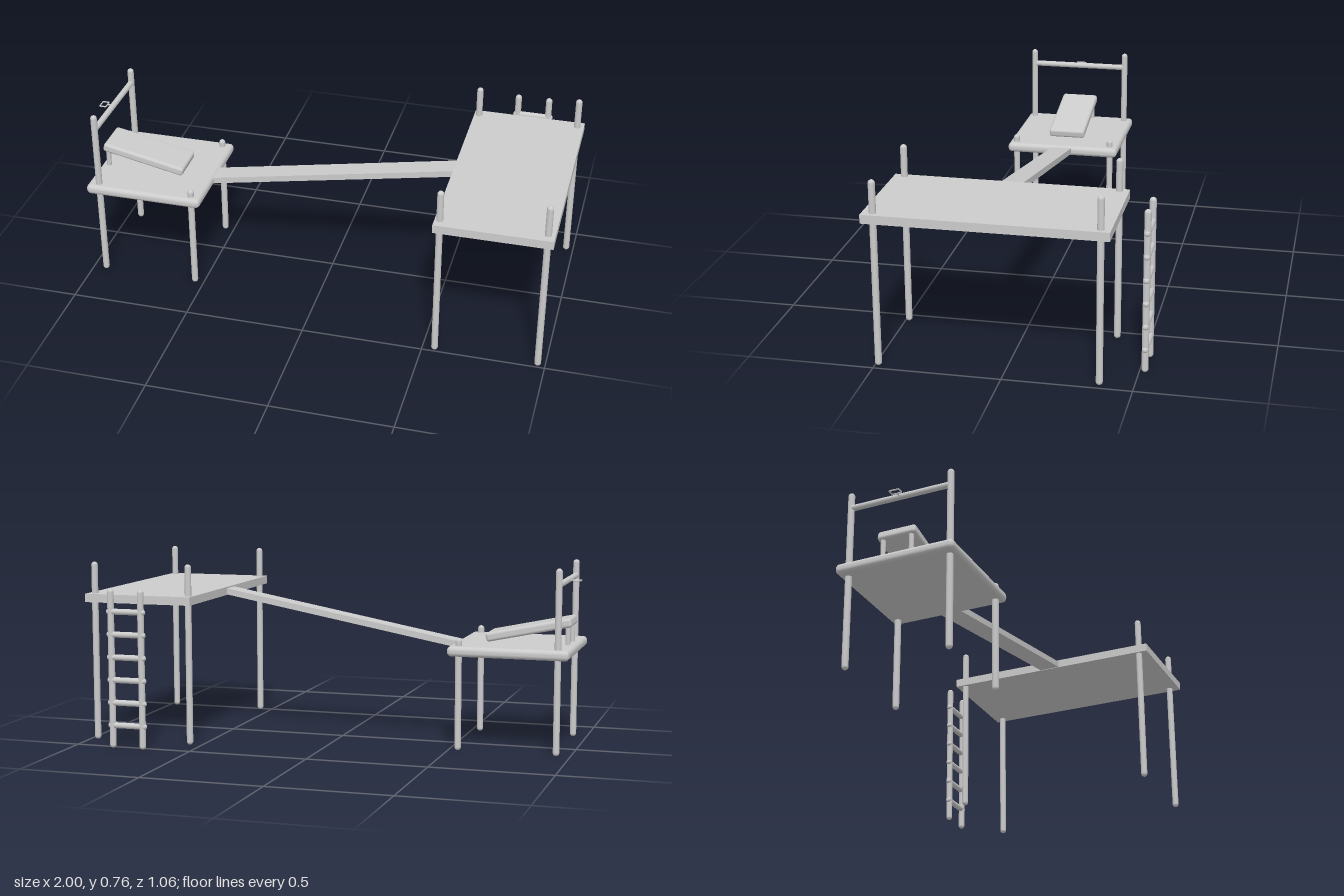
import * as THREE from 'three';
import { RoundedBoxGeometry } from 'three/addons/geometries/RoundedBoxGeometry.js';

const material = new THREE.MeshStandardMaterial({ color: 0xcccccc });

function add(parent, name, geometry, x, y, z) {
  const mesh = new THREE.Mesh(geometry, material);
  mesh.name = name;
  mesh.position.set(x, y, z);
  parent.add(mesh);
  return mesh;
}

// Round-ended pole between two points
function pole(parent, name, a, b, r) {
  const start = new THREE.Vector3(...a), end = new THREE.Vector3(...b);
  const dir = end.clone().sub(start);
  const length = dir.length();
  const mid = start.add(end).multiplyScalar(0.5);
  const mesh = add(parent, name, new THREE.CapsuleGeometry(r, length - 2 * r, 5, 16), mid.x, mid.y, mid.z);
  mesh.quaternion.setFromUnitVectors(new THREE.Vector3(0, 1, 0), dir.normalize());
  return mesh;
}

function group(parent, name) {
  const g = new THREE.Group();
  g.name = name;
  parent.add(g);
  return g;
}

export function createModel() {
  const model = new THREE.Group();
  model.name = 'playStructure';

  // High platform on four posts
  const high = group(model, 'highPlatform');
  add(high, 'highDeck', new THREE.BoxGeometry(0.468, 0.035, 0.937), 0.764, 0.603, 0.06);
  for (const x of [0.551, 0.97])
    for (const z of [-0.37, 0.486]) pole(high, 'highPost', [x, 0, z], [x, 0.752, z], 0.0135);

  // Low platform: tall posts at the outer end, short ones at the ramp
  const low = group(model, 'lowPlatform');
  add(low, 'lowDeck', new RoundedBoxGeometry(0.498, 0.042, 0.498, 4, 0.018), -0.743, 0.41, 0.061);
  for (const z of [-0.152, 0.277]) {
    pole(low, 'tallPost', [-0.943, 0, z], [-0.943, 0.757, z], 0.0135);
    pole(low, 'shortPost', [-0.538, 0, z], [-0.538, 0.462, z], 0.0135);
  }
  pole(low, 'crossbar', [-0.943, 0.69, -0.162], [-0.943, 0.69, 0.287], 0.0125);

  // Small wire hook on the crossbar
  const hookPoints = [[-0.945, 0.062], [-0.97, 0.062], [-0.97, 0.042], [-0.997, 0.042], [-0.997, 0.082], [-0.97, 0.082], [-0.97, 0.062]];
  const hookPath = new THREE.CurvePath();
  for (let i = 1; i < hookPoints.length; i++) {
    const [a, b] = [hookPoints[i - 1], hookPoints[i]].map(([x, z]) => new THREE.Vector3(x, 0.69, z));
    hookPath.add(new THREE.LineCurve3(a, b));
  }
  add(low, 'hook', new THREE.TubeGeometry(hookPath, 60, 0.003, 6), 0, 0, 0);

  // Sloping bench propped on two little legs
  const bench = group(model, 'bench');
  const board = add(bench, 'benchBoard', new RoundedBoxGeometry(0.36, 0.038, 0.162, 4, 0.012), -0.796, 0.487, 0.062);
  board.rotation.z = -0.21;
  for (const z of [0.002, 0.122]) pole(bench, 'benchLeg', [-0.957, 0.42, z], [-0.957, 0.54, z], 0.01);

  // Ramp joining the two platforms
  const rise = 0.192, run = 1.04;
  const ramp = add(model, 'ramp', new THREE.BoxGeometry(Math.hypot(rise, run), 0.026, 0.088), 0.017, 0.506, 0.062);
  ramp.rotation.z = Math.atan2(rise, run);

  // Ladder standing behind the high platform
  const ladder = group(model, 'ladder');
  for (const x of [0.697, 0.829]) pole(ladder, 'ladderRail', [x, 0, -0.521], [x, 0.658, -0.521], 0.0135);
  for (let i = 0; i < 6; i++) {
    const y = 0.095 + i * 0.094;
    pole(ladder, 'rung', [0.677, y, -0.521], [0.849, y, -0.521], 0.0125);
  }

  return model;
}
